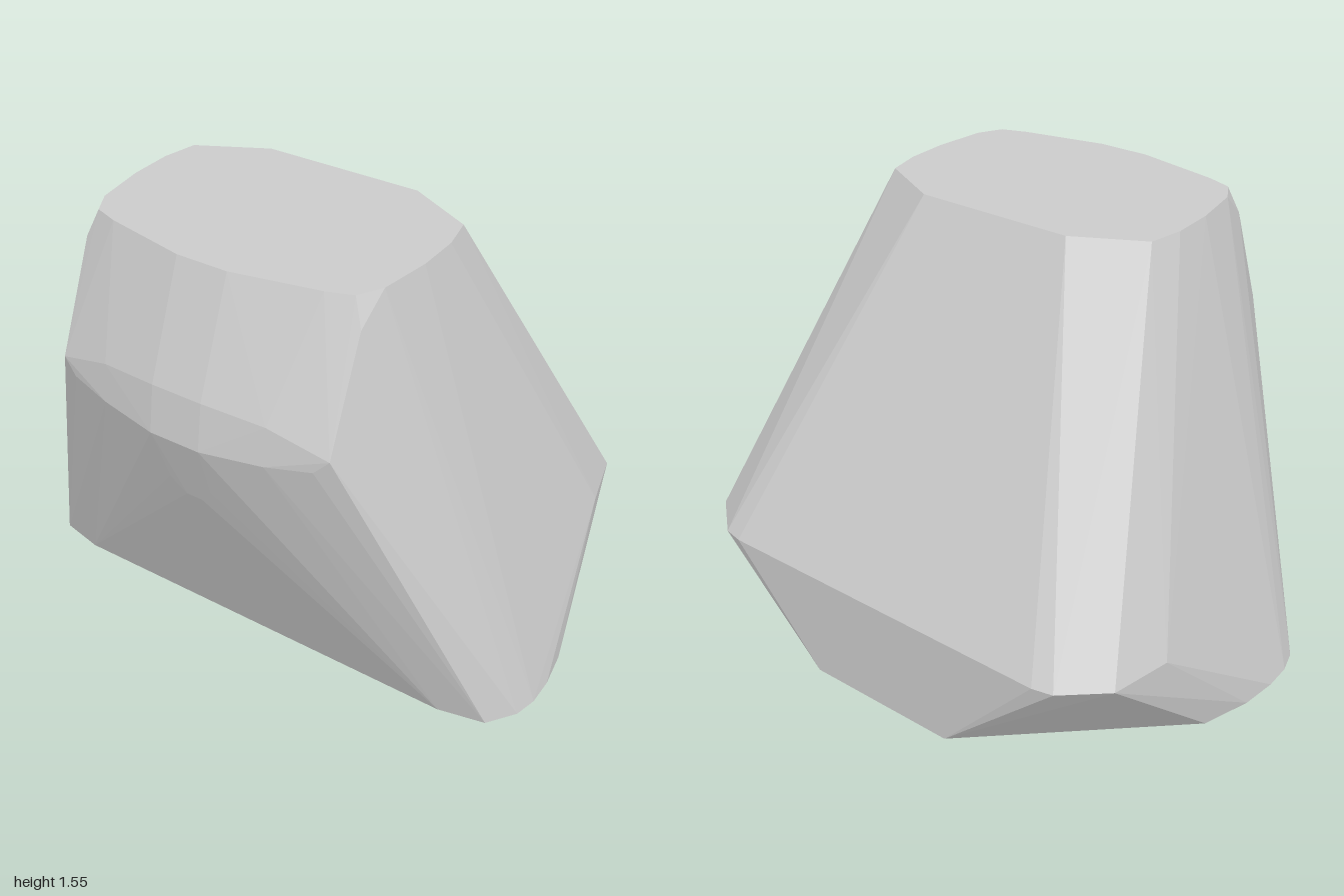
import * as THREE from 'three';
import { ConvexGeometry } from 'three/addons/geometries/ConvexGeometry.js';

// Corner points of the +x half, grouped by ring: [x, y, z]
const flatTop = [
  [0.28, -0.14], [0.51, -0.02], [0.535, 0.1], [0.535, 0.25],
  [0.51, 0.43], [0.465, 0.51], [0.38, 0.54], [0.09, 0.6],
].map(([x, z]) => [x, 1.55, z]);

const base = [
  [0.28, -0.775], [0.92, -0.2], [0.98, -0.03], [1, 0.1], [1, 0.2],
  [0.98, 0.28], [0.91, 0.375], [0.75, 0.41],
].map(([x, z]) => [x, 0, z]);

const backShelf = [
  [0.63, -0.775], [0.7, -0.76], [0.84, -0.64], [0.89, -0.43],
].map(([x, z]) => [x, 0.4, z]);

const frontBrow = [
  [0.5, 1.46, 0.535], [0.5, 1.1, 0.69],
  [0.09, 1.18, 0.75], [0.3, 1.16, 0.72],
  [0.09, 1.02, 0.775], [0.3, 1.03, 0.737], [0.45, 1.05, 0.702],
];

const frontRidge = [[0.03, 0.76, 0.695], [0.08, 0.82, 0.712]];

export function createModel() {
  const group = new THREE.Group();
  group.name = 'facetedBlock';

  // Mirror the half across x = 0 and wrap it in a faceted convex skin
  const points = [];
  for (const [x, y, z] of [...flatTop, ...base, ...backShelf, ...frontBrow, ...frontRidge]) {
    points.push(new THREE.Vector3(x, y, z), new THREE.Vector3(-x, y, z));
  }
  const body = new THREE.Mesh(
    new ConvexGeometry(points),
    new THREE.MeshStandardMaterial({ color: 0xcccccc, flatShading: true })
  );
  body.name = 'body';
  group.add(body);
  return group;
}
